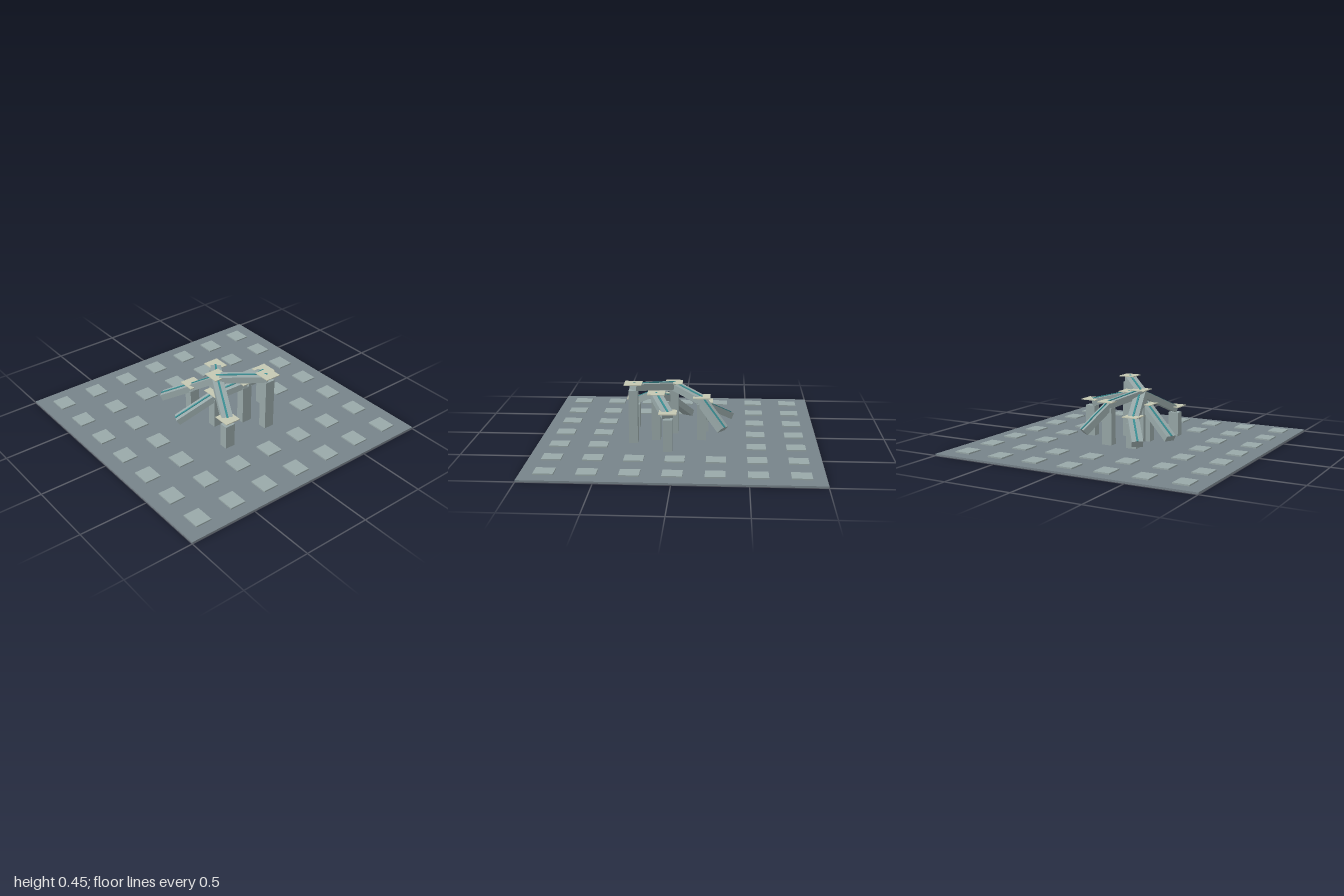
import * as THREE from 'three';

const paint = (name, color) => {
  const m = new THREE.MeshStandardMaterial({ color });
  m.name = name;
  return m;
};

export function createModel() {
  const model = new THREE.Group();
  model.name = 'beamStructure';
  const slate = paint('slate', 0x77838a);
  const stone = paint('paleStone', 0x98a8a8);
  const cream = paint('cream', 0xc4c7b2);
  const teal = paint('teal', 0x3a8f94);

  const box = (name, material, size, pos, parent = model) => {
    const mesh = new THREE.Mesh(new THREE.BoxGeometry(...size), material);
    mesh.name = name;
    mesh.position.set(...pos);
    parent.add(mesh);
    return mesh;
  };

  // Ground slab
  const FLOOR = 0.013;
  box('groundSlab', slate, [2, FLOOR, 2], [0, FLOOR / 2, 0]);

  // Low tiles around an empty 3 x 3 centre
  for (let i = -3; i <= 3; i++) {
    for (let j = -3; j <= 3; j++) {
      if (Math.abs(i) < 2 && Math.abs(j) < 2) continue;
      box('floorTile', stone, [0.135, 0.01, 0.118], [i * 0.28, FLOOR + 0.005, j * 0.28]);
    }
  }

  // Joints at the heads of the posts (y is the cap height)
  const joints = {
    high: [0.317, 0.446, -0.18],
    hub: [0.04, 0.396, 0.06],
    backLeft: [-0.168, 0.33, -0.09],
    frontLeft: [-0.182, 0.24, 0.118],
    frontRight: [0.338, 0.24, 0.197],
    ridge: [0.16, 0.355, -0.1],
    back: [0.06, 0.29, -0.365],
    front: [0.076, 0.29, 0.096],
  };
  for (const [x, y, z] of Object.values(joints)) {
    const top = y - 0.047;
    box('post', stone, [0.064, top - FLOOR, 0.078], [x, (top + FLOOR) / 2, z]);
    box('postCap', cream, [0.125, 0.006, 0.118], [x, y, z]);
  }

  // Sloping beam with a thin stripe; its top face runs from a to b
  const beam = (a, b) => {
    const start = new THREE.Vector3(...a);
    const end = new THREE.Vector3(...b);
    const length = start.distanceTo(end);
    const group = new THREE.Group();
    group.name = 'beam';
    group.position.copy(start).lerp(end, 0.5);
    group.lookAt(end);
    box('beamBody', stone, [0.08, 0.048, length], [0, -0.024, 0], group);
    box('beamStripe', teal, [0.013, 0.006, length], [0, 0.003, 0], group);
    model.add(group);
  };

  const j = joints;
  const feet = {
    backLeft: [-0.335, 0.14, -0.22],
    frontLeft: [-0.38, 0.113, 0.26],
    front: [-0.06, 0.1, 0.362],
  };
  beam(j.hub, j.high);
  beam(j.hub, j.backLeft);
  beam(j.hub, j.frontLeft);
  beam(j.hub, j.frontRight);
  beam(j.ridge, j.back);
  beam(j.ridge, j.front);
  // Lower beams hanging beyond the posts
  for (const key of Object.keys(feet)) beam(j[key], feet[key]);

  return model;
}
